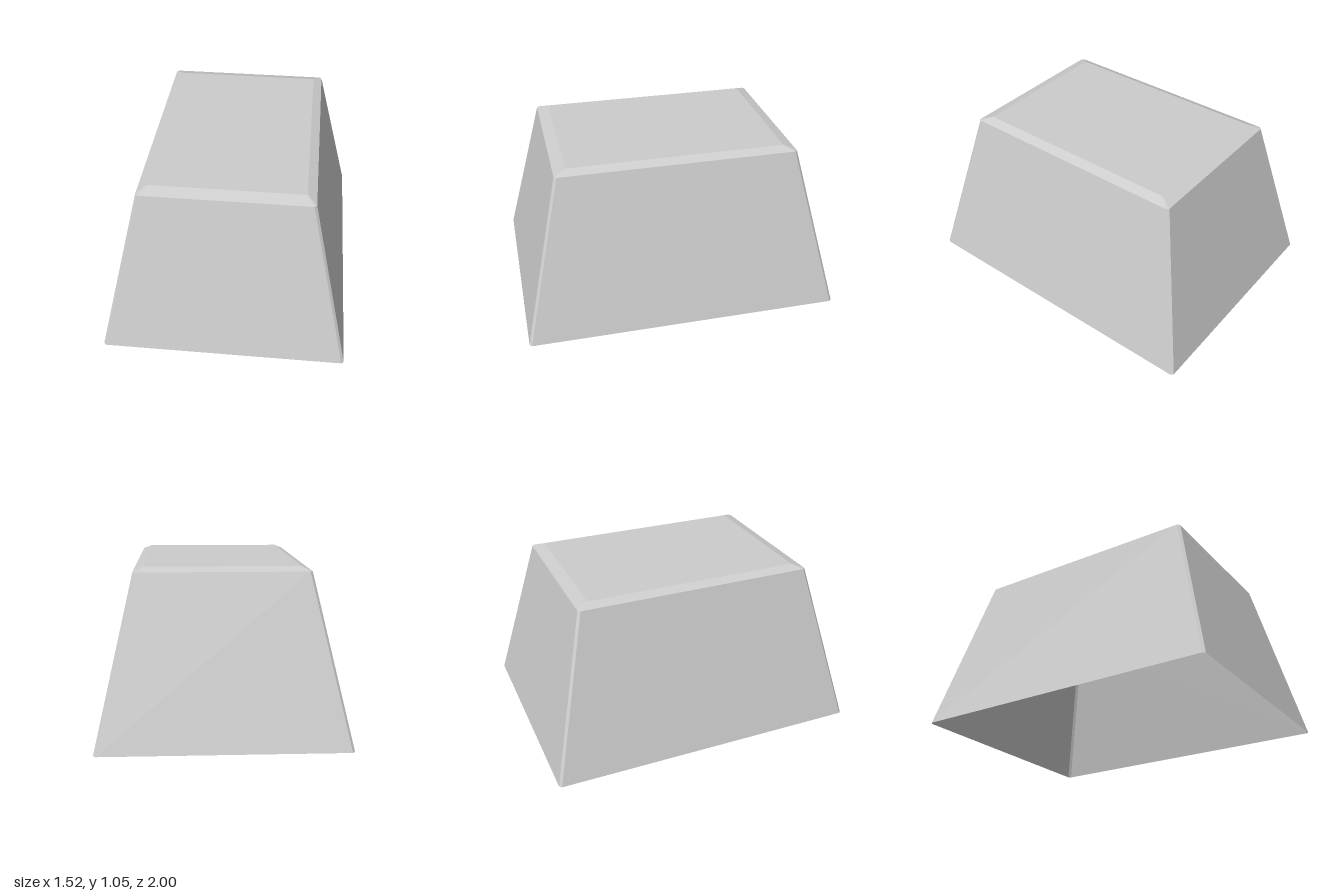
import * as THREE from 'three';

// Rectangle with cut corners at height y, counter-clockwise seen from above
function ring(hx, hz, y, cut) {
  return [
    [hx, hz - cut], [hx, -hz + cut], [hx - cut, -hz], [-hx + cut, -hz],
    [-hx, -hz + cut], [-hx, hz - cut], [-hx + cut, hz], [hx - cut, hz],
  ].map(([x, z]) => new THREE.Vector3(x, y, z));
}

function surface(name, triangles, material) {
  const geometry = new THREE.BufferGeometry().setFromPoints(triangles.flat());
  geometry.computeVertexNormals();
  const mesh = new THREE.Mesh(geometry, material);
  mesh.name = name;
  return mesh;
}

// Band of flat faces between two rings, leaving out collapsed triangles
function band(low, high) {
  const triangles = [];
  low.forEach((a, i) => {
    const j = (i + 1) % low.length;
    triangles.push([a, low[j], high[j]], [a, high[j], high[i]]);
  });
  return triangles.filter(([a, b, c]) => new THREE.Triangle(a, b, c).getArea() > 1e-8);
}

export function createModel() {
  const material = new THREE.MeshStandardMaterial({
    color: 0xcccccc, flatShading: true, side: THREE.DoubleSide,
  });
  const base = ring(0.76, 1, 0, 0.015);
  const shoulder = ring(0.527, 0.755, 1.03, 0.015);
  const top = ring(0.47, 0.68, 1.055, 0);

  const group = new THREE.Group();
  group.name = 'taperedCover';

  // Sloping walls with narrow corner bevels, open underneath
  group.add(surface('walls', band(base, shoulder), material));

  // Shallow bevel around the top
  group.add(surface('topBevel', band(shoulder, top), material));

  // Flat top panel
  const [a, b, c, d] = [top[0], top[2], top[4], top[6]];
  group.add(surface('topPanel', [[a, b, c], [a, c, d]], material));

  return group;
}
